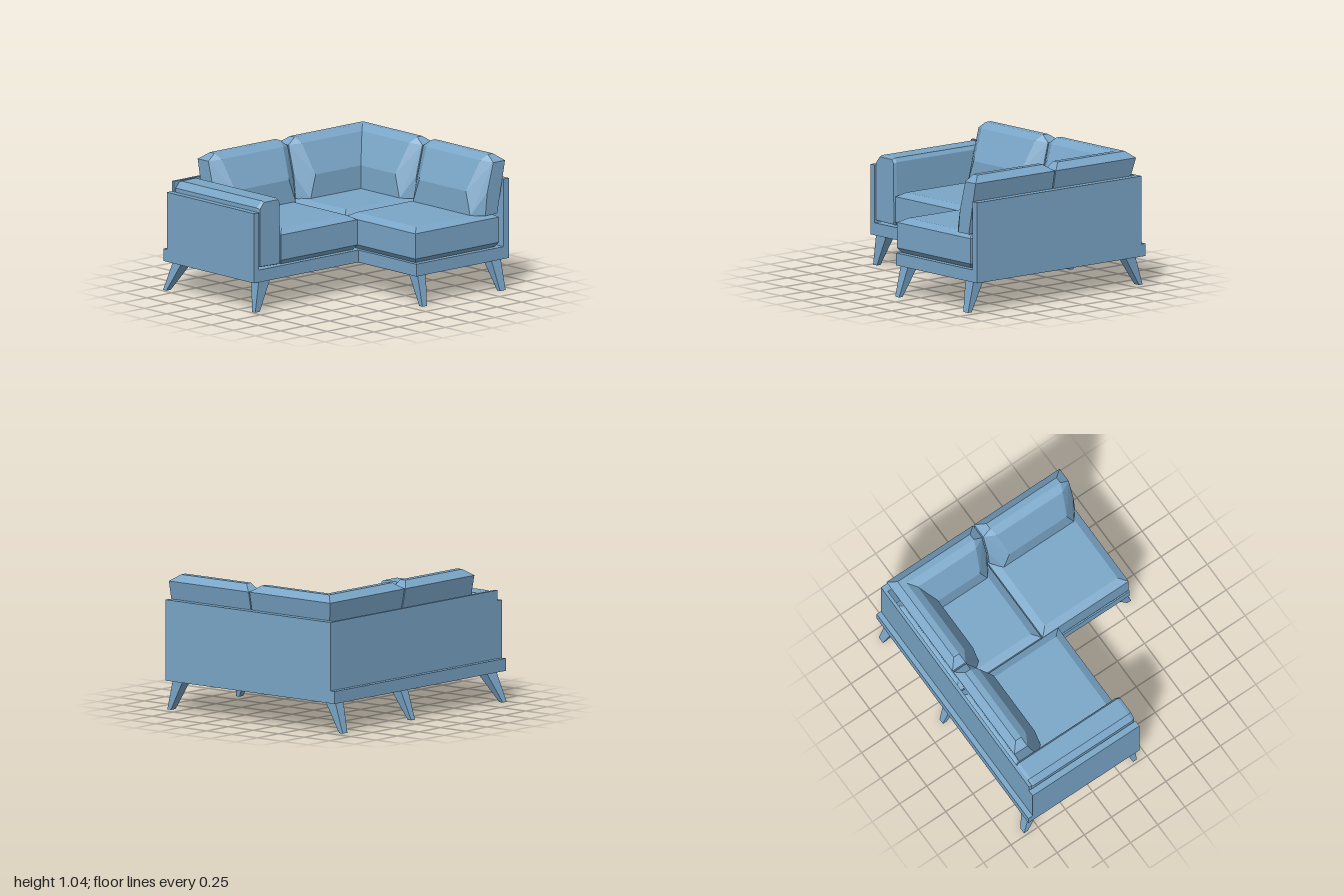
import * as THREE from 'three';
import { ConvexGeometry } from 'three/addons/geometries/ConvexGeometry.js';

const V = (x, y, z) => new THREE.Vector3(x, y, z);

export function createModel() {
  const group = new THREE.Group();
  const fabric = new THREE.MeshStandardMaterial({ color: 0x7aa6c8, flatShading: true });
  fabric.name = 'blue fabric';

  const add = (name, geometry) => {
    const mesh = new THREE.Mesh(geometry, fabric);
    mesh.name = name;
    group.add(mesh);
    return mesh;
  };
  const hull = (name, points) => add(name, new ConvexGeometry(points));
  const box = (name, x0, x1, y0, y1, z0, z1) =>
    add(name, new THREE.BoxGeometry(x1 - x0, y1 - y0, z1 - z0))
      .position.set((x0 + x1) / 2, (y0 + y1) / 2, (z0 + z1) / 2);
  // four corners of a horizontal rectangle
  const rect = (x0, x1, z0, z1, y, i = 0) =>
    [V(x0 + i, y, z0 + i), V(x1 - i, y, z0 + i), V(x1 - i, y, z1 - i), V(x0 + i, y, z1 - i)];

  // L-shaped base slab
  const outline = [[-1, 0.84], [1, 0.84], [1, -0.83], [0.06, -0.83], [0.06, -0.18], [-1, -0.18]];
  const shape = new THREE.Shape(outline.map(([x, y]) => new THREE.Vector2(x, y)));
  const slab = new THREE.ExtrudeGeometry(shape, { depth: 0.095, bevelEnabled: false });
  add('baseSlab', slab.rotateX(-Math.PI / 2).translate(0, 0.232, 0));

  // upright panels
  box('backPanel', -0.95, 1, 0.325, 0.85, -0.8, -0.775);
  box('leftPanel', 0.945, 1, 0.325, 0.85, -0.8, 0.83);
  box('rightArmPanel', -1, -0.95, 0.325, 0.77, -0.8, 0.18);

  // arm cushion: bevelled section run along z
  const armSection = [[-0.945, 0.34], [-0.945, 0.8], [-0.9, 0.85], [-0.75, 0.85], [-0.73, 0.82], [-0.725, 0.36], [-0.74, 0.335]];
  const armPoints = [];
  for (const [z, s] of [[-0.775, 0.93], [-0.75, 1], [0.15, 1], [0.175, 0.93]])
    for (const [x, y] of armSection)
      armPoints.push(V(-0.835 + (x + 0.835) * s, 0.59 + (y - 0.59) * (s + 1) / 2, z));
  hull('armCushion', armPoints);

  // seat cushions: bevelled at top and bottom
  const seats = [
    ['rightSeat', -0.72, 0.058, -0.76, 0.17],
    ['cornerSeat', 0.066, 0.92, -0.76, 0.025],
    ['frontSeat', 0.06, 0.91, 0.032, 0.82],
  ];
  for (const [name, ...r] of seats)
    hull(name, [...rect(...r, 0.33, 0.025), ...rect(...r, 0.365), ...rect(...r, 0.56), ...rect(...r, 0.595, 0.06)]);

  // back cushions: [outward, height, inset from the end]
  const endSection = [[0.77, 0.59, 0], [0.79, 0.77, 0], [0.85, 0.99, 0], [0.97, 0.99, 0], [0.89, 0.59, 0]];
  const fullSection = [[0.68, 0.59, 0.07], [0.69, 0.77, 0.13], [0.8, 1.0, 0.09], [0.86, 1.04, 0.07], [0.91, 1.04, 0.07]];
  const mitreSection = [[0.68, 0.59], [0.69, 0.77], [0.8, 1.0], [0.86, 1.04], [0.91, 1.04], [0.97, 0.99], [0.89, 0.59]];
  const alongX = (o, y, t) => V(t, y, 0.2 - o);
  const alongZ = (o, y, t) => V(o, y, t);
  const end = (place, t, dir) => [...endSection, ...fullSection].map(([o, y, i]) => place(o, y, t + dir * i));
  const mitre = mitreSection.map(([o, y]) => V(o, y, 0.2 - o));
  hull('rightBackCushion', [...end(alongX, -0.715, 1), ...end(alongX, 0.09, -1)]);
  hull('cornerBackCushionRear', [...end(alongX, 0.1, 1), ...mitre]);
  hull('cornerBackCushionSide', [...end(alongZ, 0.025, -1), ...mitre]);
  hull('frontBackCushion', [...end(alongZ, 0.035, 1), ...end(alongZ, 0.82, -1)]);

  // tapered splayed legs: x and z ranges at the foot and at the top
  const xs = [[-0.98, -0.935, -0.945, -0.83], [0.09, 0.135, 0.09, 0.175], [0.88, 0.935, 0.84, 0.935]];
  const back = [-0.865, -0.83, -0.79, -0.69];
  const front = [0.83, 0.865, 0.71, 0.81];
  const middle = [0.135, 0.17, 0.085, 0.17];
  const leg = (name, x, z) => hull(name, [
    ...rect(x[0], x[1], z[0], z[1], 0),
    ...rect(x[2], x[3], z[2], z[3], 0.235),
  ]);
  xs.forEach((x, i) => {
    leg('backLeg' + (i + 1), x, back);
    leg('frontLeg' + (i + 1), x, i === 0 ? middle : front);
  });
  return group;
}
